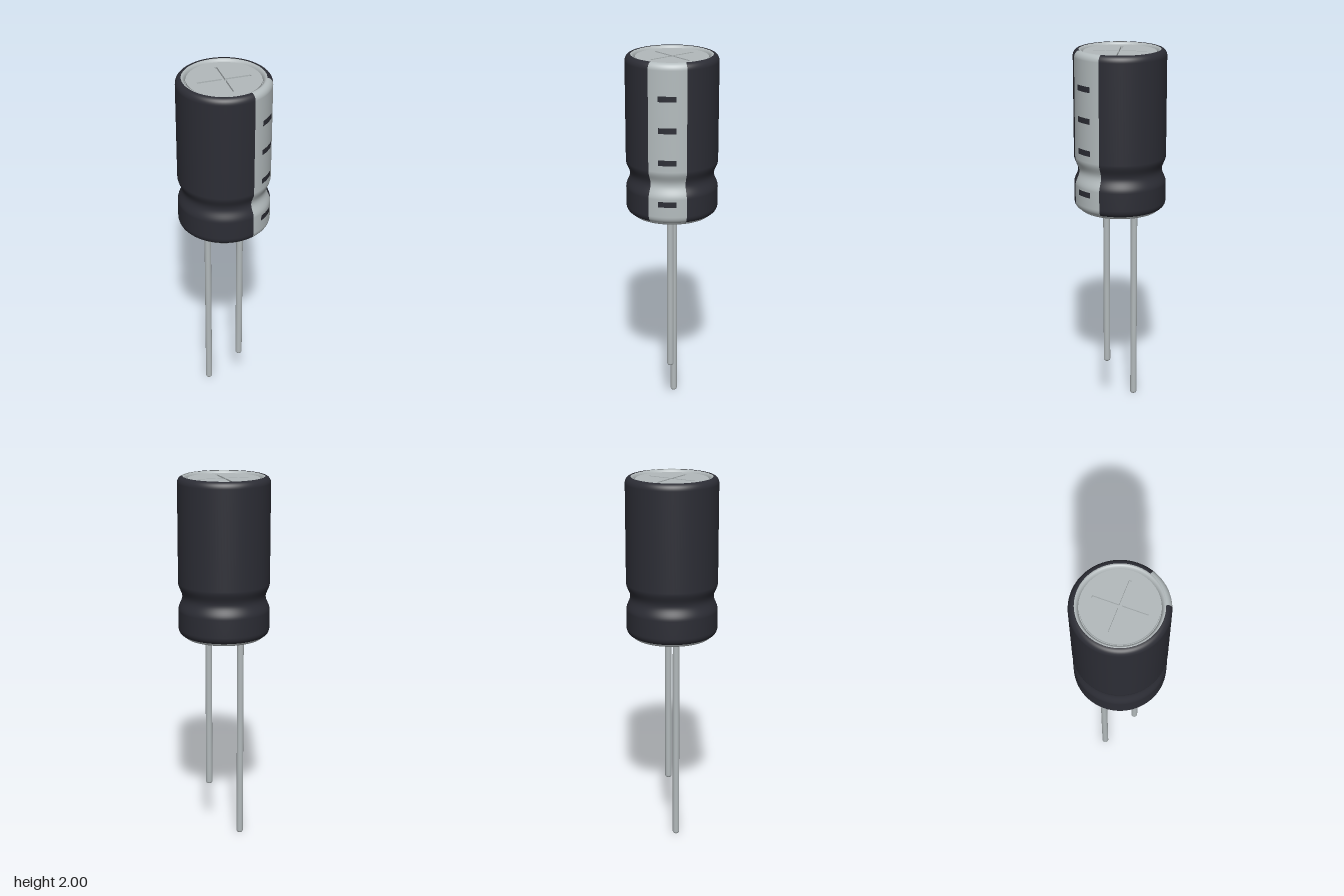
import * as THREE from 'three';

const mat = (name, color, side = THREE.FrontSide) => {
  const m = new THREE.MeshStandardMaterial({ color, side });
  m.name = name;
  return m;
};

export function createModel() {
  const sleeveDark = mat('sleeve charcoal', 0x2c2d35, THREE.DoubleSide);
  const stripeGrey = mat('stripe grey', 0xb4bcbe, THREE.DoubleSide);
  const metal = mat('aluminium', 0xb2b9bb, THREE.DoubleSide);
  const rubber = mat('rubber black', 0x18181a);

  const group = new THREE.Group();
  group.name = 'capacitor';
  const add = (name, geometry, material, x = 0, y = 0, z = 0) => {
    const mesh = new THREE.Mesh(geometry, material);
    mesh.name = name;
    mesh.position.set(x, y, z);
    group.add(mesh);
    return mesh;
  };
  const lathe = (pts, segments = 96, start = 0, length = Math.PI * 2) =>
    new THREE.LatheGeometry(pts.map(([r, y]) => new THREE.Vector2(r, y)), segments, start, length);

  // Sleeve outline: rounded ends and a crimped groove near the bottom
  const R = 0.245;
  const profile = [[0.216, 1.15]];
  for (let i = 0; i <= 6; i++) {
    const a = (i / 6) * Math.PI / 2;
    profile.push([R - 0.027 + 0.027 * Math.sin(a), 1.19 - 0.038 * Math.cos(a)]);
  }
  for (let i = 0; i <= 16; i++) {
    const t = i / 16;
    profile.push([R - 0.022 * (0.5 - 0.5 * Math.cos(t * Math.PI * 2)), 1.285 + 0.15 * t]);
  }
  for (let i = 0; i <= 8; i++) {
    const a = (i / 8) * Math.PI / 2;
    profile.push([R - 0.03 + 0.03 * Math.cos(a), 1.965 + 0.035 * Math.sin(a)]);
  }

  // The stripe fills the wedge facing +x, the dark sleeve fills the rest
  const half = 0.42;
  add('sleeve', lathe(profile, 84, Math.PI / 2 + half, Math.PI * 2 - 2 * half), sleeveDark);
  add('polarityStripe', lathe(profile, 14, Math.PI / 2 - half, 2 * half), stripeGrey);

  // Minus marks: thin curved plates on the stripe
  for (const y of [1.26, 1.485, 1.655, 1.82]) {
    const r = R + 0.002, h = 0.015;
    add('minusMark', lathe([[r, y - h], [r, y + h]], 8, Math.PI / 2 - 0.195, 0.39), sleeveDark);
  }

  // Can rims, top and bottom
  add('topRim', lathe([[0.216, 1.997], [0.211, 1.999], [0.206, 1.997], [0.2, 1.991], [0.196, 1.98], [0.195, 1.972]]), metal);
  add('bottomRim', lathe([[0.188, 1.14], [0.192, 1.136], [0.198, 1.135], [0.208, 1.138], [0.216, 1.144], [0.22, 1.154]]), metal);

  // Top plate with a cross-shaped pressure vent cut into it
  const plate = new THREE.Shape().absarc(0, 0, 0.191, 0, Math.PI * 2, false);
  const vent = new THREE.Path();
  const w = 0.007, L = 0.141;
  const corners = [];
  for (let i = 0; i < 4; i++) {
    const a = Math.PI / 4 + i * Math.PI / 2, c = Math.cos(a), s = Math.sin(a);
    for (const [u, v] of [[L, -w], [L, w], [w, w]]) {
      corners.push(new THREE.Vector2(u * c - v * s, u * s + v * c));
    }
  }
  vent.setFromPoints(corners.reverse());
  plate.holes.push(vent);
  const plateGeo = new THREE.ExtrudeGeometry(plate, { depth: 0.012, bevelEnabled: false, curveSegments: 96 });
  add('topPlate', plateGeo.rotateX(-Math.PI / 2), metal, 0, 1.975, 0);
  add('ventFloor', new THREE.CircleGeometry(0.197, 64).rotateX(-Math.PI / 2), metal, 0, 1.975, 0);

  // Rubber seal in the bottom
  add('rubberSeal', new THREE.CylinderGeometry(0.19, 0.19, 0.03, 64), rubber, 0, 1.155, 0);

  // Wire leads with softened tips, one longer than the other
  const lead = (name, x, bottom) => {
    const r = 0.018;
    add(name, lathe([[0, bottom], [0.011, bottom], [0.0155, bottom + 0.003], [r, bottom + 0.009],
      [r, bottom + 0.012], [r, 1.15]], 24), metal, x);
  };
  lead('longLead', -0.1, 0);
  lead('shortLead', 0.094, 0.26);

  return group;
}
